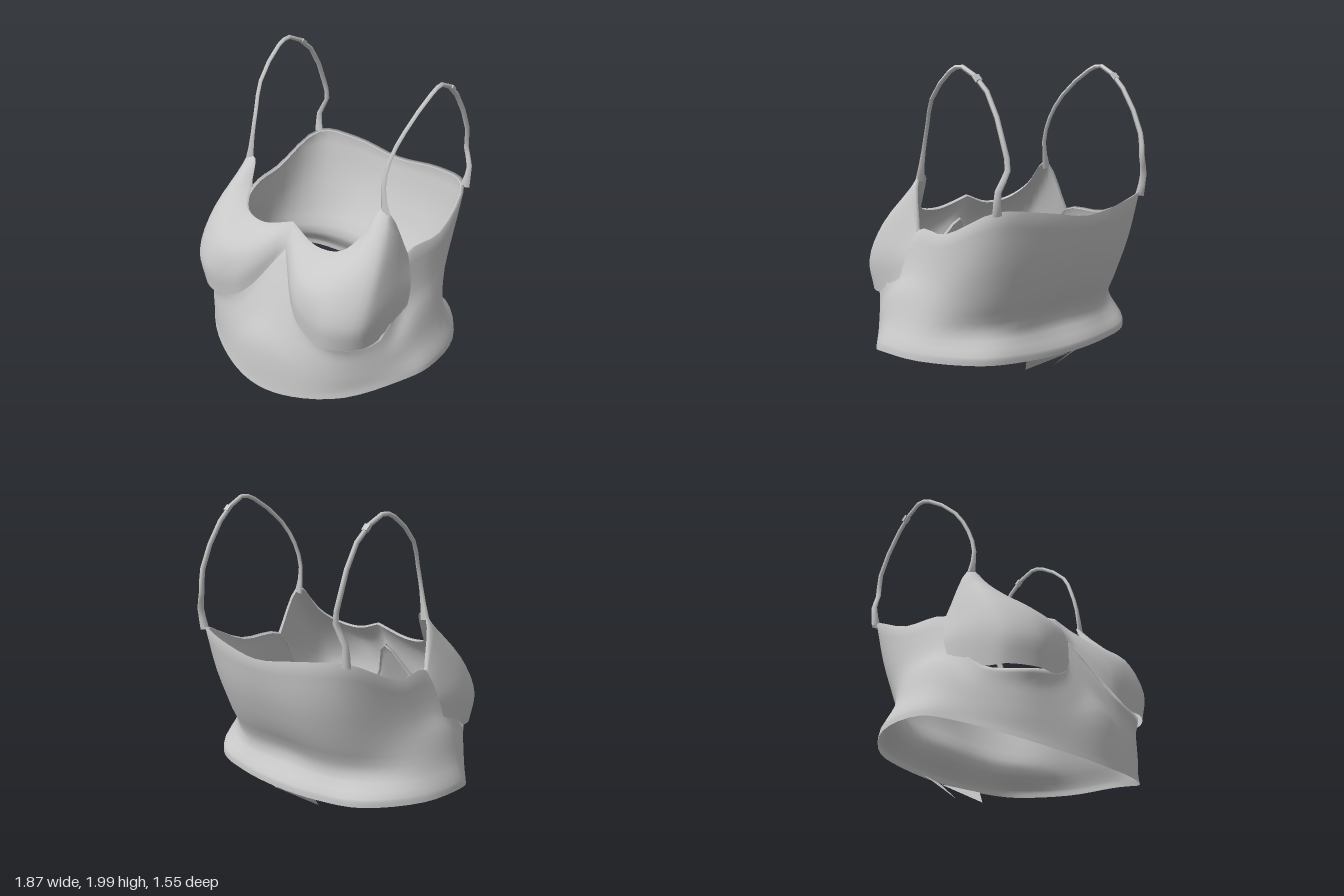
import * as THREE from 'three';

const fabric = new THREE.MeshStandardMaterial({ color: 0xc8c8c8, side: THREE.DoubleSide });
fabric.name = 'grey fabric';

const V = (p) => new THREE.Vector3(...p);
const mirror = (col) => col.map(([x, y, z]) => [-x, y, z]);

// Resample a list of points along a smooth curve, n steps per span
function smooth(points, n, closed = false) {
  const curve = new THREE.CatmullRomCurve3(points.map(V), closed);
  const count = (closed ? points.length : points.length - 1) * n;
  return Array.from({ length: closed ? count : count + 1 }, (_, i) => curve.getPoint(i / count).toArray());
}

// Smooth a grid of columns across, then up
function refine(cols, across, up, closed) {
  const rows = cols[0].map((_, r) => smooth(cols.map((c) => c[r]), across, closed));
  return rows[0].map((_, c) => smooth(rows.map((row) => row[c]), up));
}

// Folded edge: a column with its top point repeated slightly inward
const fold = (col) => {
  const [x, y, z] = col.at(-1);
  return [...col, [x * 0.97, y - 0.012, z * 0.97]];
};

// Skin a grid of columns with smooth normals
function skin(name, cols, closed) {
  const h = cols[0].length;
  const index = [];
  for (let c = 0; c < cols.length - (closed ? 0 : 1); c++) {
    for (let r = 0; r < h - 1; r++) {
      const a = c * h + r, b = ((c + 1) % cols.length) * h + r;
      index.push(a, b, b + 1, a, b + 1, a + 1);
    }
  }
  const g = new THREE.BufferGeometry();
  g.setAttribute('position', new THREE.Float32BufferAttribute(cols.flat(2), 3));
  g.setIndex(index);
  g.computeVertexNormals();
  const mesh = new THREE.Mesh(g, fabric);
  mesh.name = name;
  return mesh;
}

function triangle(name, ...pts) {
  const g = new THREE.BufferGeometry().setFromPoints(pts.map(V));
  g.computeVertexNormals();
  const mesh = new THREE.Mesh(g, fabric);
  mesh.name = name;
  return mesh;
}

// Body half columns, front centre to back centre, hem to top; the front ones stop under the bust
const bodyHalf = [
  [[0, 0, .77], [0, .33, .735], [0, .52, .64], [0, .72, .55], [0, .93, .445]],
  [[.27, .02, .725], [.26, .25, .7], [.25, .38, .67], [.24, .5, .635], [.22, .61, .61]],
  [[.58, .08, .57], [.56, .22, .58], [.55, .32, .585], [.54, .42, .59], [.53, .505, .62]],
  [[.83, .18, .3], [.785, .3, .33], [.76, .38, .35], [.735, .46, .37], [.72, .53, .385]],
  [[.925, .225, .12], [.86, .4, .12], [.805, .58, .12], [.735, .7, .11], [.67, .97, .05]],
  [[.89, .23, -.22], [.82, .4, -.21], [.77, .57, -.22], [.735, .74, -.23], [.71, .99, -.27]],
  [[.64, .215, -.52], [.57, .39, -.43], [.58, .58, -.49], [.61, .86, -.58], [.63, 1.16, -.65]],
  [[.35, .2, -.6], [.34, .39, -.525], [.34, .6, -.62], [.35, .85, -.71], [.36, 1.14, -.76]],
  [[0, .19, -.62], [0, .39, -.52], [0, .6, -.63], [0, .84, -.725], [0, 1.09, -.78]],
];

// Bust half columns, centre to armhole, each from under-edge to neckline
const bustHalf = [
  [[0, .93, .45], [0, .98, .435], [0, 1.03, .41], [0, 1.1, .37]],
  [[.22, .6, .63], [.22, .75, .63], [.22, .9, .57], [.22, 1.03, .41]],
  [[.38, .51, .655], [.38, .7, .665], [.38, .88, .61], [.4, 1.05, .38]],
  [[.52, .505, .65], [.53, .7, .66], [.52, .93, .55], [.485, 1.15, .26]],
  [[.67, .51, .54], [.69, .7, .56], [.67, .97, .42], [.535, 1.3, .16]],
  [[.715, .52, .4], [.735, .75, .4], [.69, 1, .28], [.6, 1.28, .15]],
  [[.75, .66, .14], [.74, .78, .1], [.705, .9, .07], [.675, .97, .05]],
];

// Strap path over the shoulder, front to back
const strapPath = [
  [.57, 1.26, .155], [.54, 1.45, .15], [.545, 1.62, .1], [.58, 1.78, .01], [.61, 1.955, -.21],
  [.61, 1.98, -.32], [.595, 1.84, -.52], [.605, 1.55, -.67], [.595, 1.4, -.695],
  [.645, 1.28, -.67], [.635, 1.14, -.65],
];

// Six-sided band that widens at both ends and thickens toward the back
function strap(side) {
  const pts = smooth(strapPath, 2).map(([x, y, z]) => V([x * side, y, z]));
  const last = pts.length - 1;
  const rings = pts.map((p, i) => {
    const t = pts[Math.min(i + 1, last)].clone().sub(pts[Math.max(i - 1, 0)]).normalize();
    const across = new THREE.Vector3(1, 0, 0).addScaledVector(t, -t.x).normalize();
    const out = across.clone().cross(t);
    const width = .014 + .022 * Math.abs(2 * i / last - 1) ** 8;
    const depth = .012 + .013 * (i / last) ** 2;
    return Array.from({ length: 7 }, (_, k) => {
      const a = -k * Math.PI / 3;
      return p.clone().addScaledVector(across, width * Math.cos(a))
        .addScaledVector(out, depth * Math.sin(a)).toArray();
    });
  });
  return skin(side > 0 ? 'leftStrap' : 'rightStrap', rings, false);
}

export function createModel() {
  const group = new THREE.Group();
  group.name = 'camisoleTop';

  // Body tube with a flared hem band
  const half = bodyHalf.map(([[x, y, z], ...rest]) => [[x, y, z], [x * .992, y + .05, z * .992], ...rest]);
  const loop = [...half, ...half.slice(1, -1).reverse().map(mirror)];
  group.add(skin('body', refine(loop, 4, 3, true).map(fold), true));

  // Bust panel with a crease at the centre
  const cup = refine(bustHalf, 4, 4, false).map(fold);
  group.add(skin('bust', [...cup.slice(1).reverse().map(mirror), ...cup], false));

  for (const s of [1, -1]) {
    group.add(strap(s));
    // Strap adjuster
    const slider = new THREE.Mesh(new THREE.BoxGeometry(.04, .022, .045), fabric);
    slider.name = 'strapSlider';
    slider.position.set(.602 * s, 1.915, -.445);
    slider.rotation.x = -.75;
    group.add(slider);
  }

  // Pointed tabs under the back hem
  group.add(triangle('hemTab', [-.25, .18, -.54], [0, .19, -.63], [-.12, .01, -.36]));
  group.add(triangle('hemTab', [0, .19, -.63], [.29, .18, -.54], [.15, .05, -.385]));
  return group;
}
